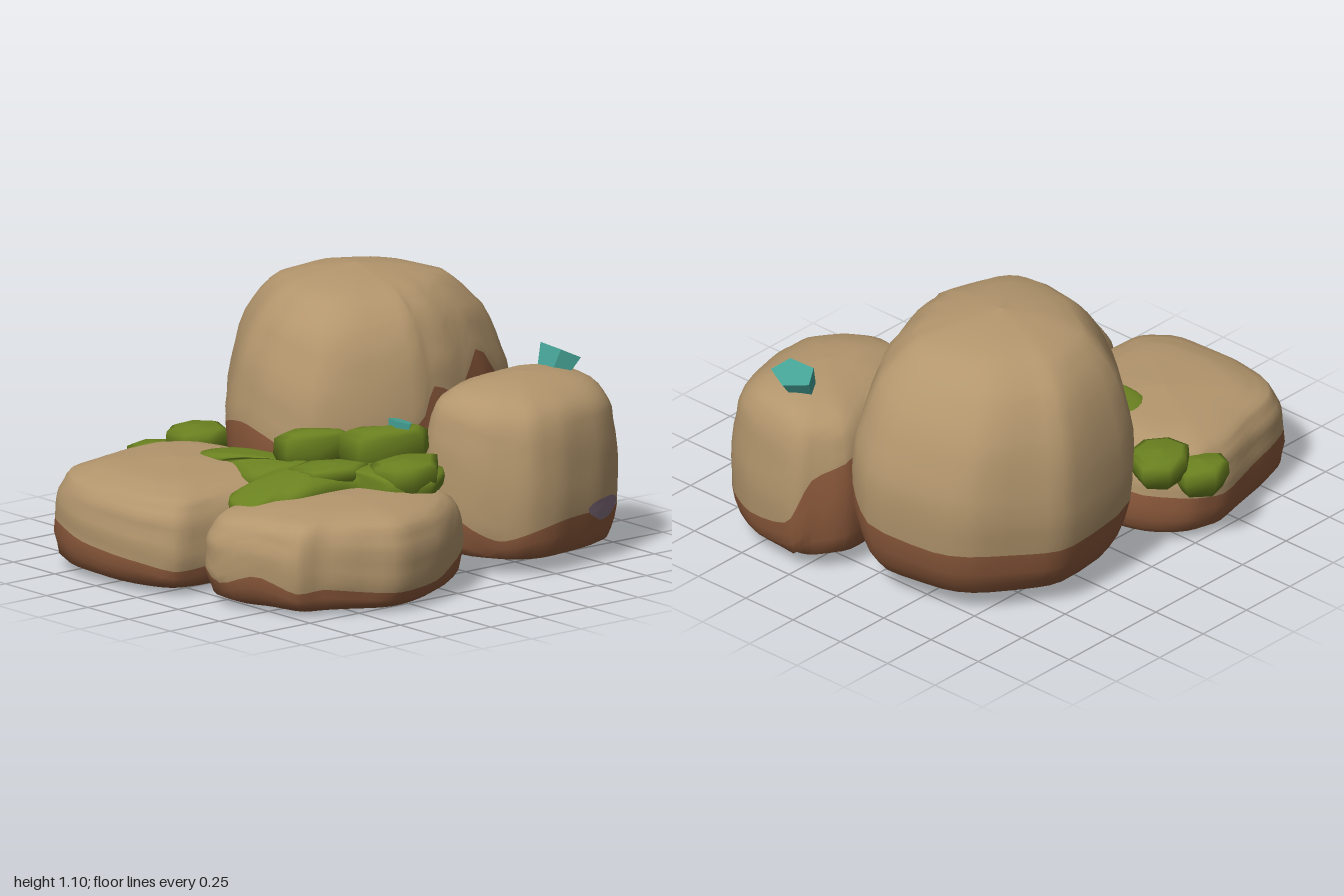
import * as THREE from 'three';

const mat = (name, color, extra = {}) => {
  const m = new THREE.MeshStandardMaterial({ color, ...extra });
  m.name = name;
  return m;
};

// Closed loft. outline: [x, z, dirtHeight] counterclockwise from above,
// profile: [scale, y, depthScale = scale] from the underside to the crown.
function makeLoft(outline, profile, centre, columns, rough, lean = [0, 0]) {
  const curve = new THREE.CatmullRomCurve3(
    outline.map(([x, z, b = 0]) => new THREE.Vector3(x, b, z)), true, 'catmullrom', 0.4);
  const last = profile.length - 1;
  const top = profile[last][1];
  const heightToU = (y) => {
    for (let i = 0; i < last; i++) {
      const a = profile[i][1], b = profile[i + 1][1];
      if (y >= a && y < b) return (i + (y - a) / (b - a)) / last;
    }
    return 0.02;
  };
  const point = (t, u, grow = 0) => {
    const p = curve.getPoint(((t % 1) + 1) % 1);
    const f = Math.min(u * last, last - 1e-6), i = Math.floor(f);
    const [s0, y0, d0 = s0] = profile[i], [s1, y1, d1 = s1] = profile[i + 1];
    const mix = (a, b) => a + (b - a) * (f - i);
    const y = mix(y0, y1);
    const lump = 1 + rough * Math.sin(t * Math.PI * 14 + u * 17) * Math.cos(t * Math.PI * 8 - u * 23);
    const k = Math.pow(Math.max(0, y / top), 4);
    return new THREE.Vector3(
      centre[0] + (p.x - centre[0]) * (mix(s0, s1) * lump + grow) + lean[0] * k, y,
      centre[1] + (p.z - centre[1]) * (mix(d0, d1) * lump + grow) + lean[1] * k);
  };
  const build = (low, high, split) => {
    const pos = [], idx = [], rows = low + high;
    for (let r = 0; r <= rows; r++) {
      for (let j = 0; j < columns; j++) {
        const t = j / columns;
        const ub = split ? heightToU(curve.getPoint(t).y) : low / rows;
        const u = r <= low ? ub * r / low : ub + (1 - ub) * (r - low) / high;
        pos.push(...point(t, u).toArray());
      }
    }
    for (let r = 0; r < rows; r++) {
      for (let j = 0; j < columns; j++) {
        const k = (j + 1) % columns;
        const a = r * columns + j, b = r * columns + k;
        idx.push(a, b, b + columns, a, b + columns, a + columns);
      }
    }
    const g = new THREE.BufferGeometry();
    g.setAttribute('position', new THREE.Float32BufferAttribute(pos, 3));
    g.setIndex(idx);
    g.addGroup(0, low * columns * 6, 0);
    g.addGroup(low * columns * 6, high * columns * 6, 1);
    g.computeVertexNormals();
    return g;
  };
  return { point, build };
}

export function createModel() {
  const model = new THREE.Group();
  const stone = mat('sandstone', 0xb3966d);
  const dirt = mat('brown earth', 0x8d5a3c);
  const moss = mat('moss green', 0x6b8220);
  const teal = mat('teal crystal', 0x46a396);
  const mauve = mat('mauve stain', 0x857080, { side: THREE.DoubleSide });

  const add = (name, geometry, material) => {
    const m = new THREE.Mesh(geometry, material);
    m.name = name;
    model.add(m);
    return m;
  };
  const rock = (name, outline, profile, centre, lean) => {
    const loft = makeLoft(outline, profile, centre, 48, 0.012, lean);
    add(name, loft.build(7, 15, true), [dirt, stone]);
    return loft;
  };

  // Boulders, each with a brown foot that climbs where they touch
  rock('largeBoulder', [
    [-.77, -.45, .28], [-.73, -.1, .31], [-.6, .05, .42], [-.4, .2, .51], [-.25, .24, .53],
    [-.1, .25, .5], [.08, .2, .42], [.2, .05, .45], [.28, -.2, .55], [.275, -.3, .69],
    [.25, -.45, .64], [.18, -.64, .78], [.1, -.79, .57], [.01, -.9, .42], [-.13, -.95, .34],
    [-.4, -.9, .3], [-.57, -.8, .3], [-.7, -.6, .28],
  ], [
    [0, .045], [.55, .05], [.8, .08], [.92, .18], [.98, .35], [1, .5], [.975, .65, .96],
    [.93, .78, .89], [.84, .9, .79], [.73, .98, .67], [.57, 1.04, .56], [.3, 1.075], [0, 1.095],
  ], [-.25, -.35], [.015, .04]);

  const backRock = rock('backBoulder', [
    [.18, -.95, .42], [.08, -.82, .5], [.1, -.6, .6], [.15, -.4, .65], [.3, -.2, .35],
    [.5, -.2, .22], [.65, -.28, .14], [.75, -.4, .18], [.76, -.55, .21], [.72, -.75, .21],
    [.65, -.9, .2], [.5, -.98, .18], [.27, -1, .22],
  ], [
    [0, .045], [.75, .05], [.9, .07], [.97, .17], [1, .32], [.97, .48], [.91, .59, .93],
    [.8, .65, .86], [.58, .695, .74], [.3, .725, .45], [0, .735],
  ], [.42, -.6]);

  rock('frontRightSlab', [
    [-.3, .99, .15], [-.05, .97, .13], [.1, .88, .1], [.13, .7, .12], [.12, .3, .2],
    [0, .1, .25], [-.3, .05, .25], [-.6, .1, .22], [-.75, .25, .2], [-.77, .4, .17],
    [-.72, .65, .2], [-.65, .87, .2], [-.5, .96, .18],
  ], [
    [0, .005], [.8, .01], [.95, .04], [1, .12], [1, .22], [.97, .31], [.88, .375],
    [.6, .415], [0, .43],
  ], [-.33, .53]);

  rock('frontLeftSlab', [
    [.33, .87, .1], [.5, .82, .15], [.67, .76, .1], [.72, .65, .11], [.8, .5, .09], [.86, .35, .08],
    [.8, .12, .09], [.66, -.1, .15], [.5, -.19, .3], [.3, -.19, .33], [.2, 0, .28],
    [.13, .3, .2], [.13, .6, .17], [.2, .82, .18],
  ], [
    [0, 0], [.8, .01], [.94, .04], [1, .13], [1, .25], [.93, .33], [.82, .365],
    [.5, .39], [0, .4],
  ], [.47, .35]);

  // Stain on the outer side of the back boulder
  {
    const n = 18, pos = [], idx = [], c = [9.2 / 13, 0.33];
    for (let ring = 0; ring <= 2; ring++) {
      for (let i = 0; i < n; i++) {
        const a = i / n * Math.PI * 2, w = ring / 2 * (1 + 0.1 * Math.sin(3 * a));
        pos.push(...backRock.point(c[0] + Math.cos(a) * w * .044,
          c[1] + Math.sin(a) * w * .03, .016).toArray());
      }
    }
    for (let ring = 0; ring < 2; ring++) {
      for (let i = 0; i < n; i++) {
        const a = ring * n + i, b = ring * n + (i + 1) % n;
        idx.push(a, a + n, b + n, a, b + n, b);
      }
    }
    const g = new THREE.BufferGeometry();
    g.setAttribute('position', new THREE.Float32BufferAttribute(pos, 3));
    g.setIndex(idx);
    g.computeVertexNormals();
    add('stain', g, mauve);
  }

  // Moss sheet draped over the gap between the rocks, its tongue sinking forward
  const sheet = makeLoft([
    [.2, .69], [.33, .7], [.36, .6], [.4, .5], [.4, .3], [.42, .22], [.55, .15], [.6, 0],
    [.55, -.08], [.45, -.19], [.28, -.19], [.28, -.05], [.2, .05], [.08, .14], [.02, .25],
    [-.15, .24], [-.36, .27], [-.36, .42], [-.23, .43], [-.15, .4], [0, .47], [.1, .48], [.13, .64],
  ], [[0, .3], [.9, .31], [1, .38], [.98, .42], [.8, .445], [.4, .465], [0, .47]],
  [.25, .3], 69, 0).build(4, 6, false);
  const sp = sheet.attributes.position;
  for (let i = 0; i < sp.count; i++) {
    sp.setY(i, sp.getY(i) - 0.16 * Math.max(0, sp.getZ(i) - 0.4));
  }
  sheet.computeVertexNormals();
  add('mossSheet', sheet, moss);

  // Chunky moss clumps: outline, bottom and top
  const clumps = [
    [[[.06, .36], [.13, .35], [.19, .25], [.22, .1], [.16, .06], [.07, .14], [.02, .24]], .4, .575],
    [[[.2, .15], [.33, .15], [.38, .05], [.4, -.12], [.35, -.19], [.28, -.18], [.26, -.03], [.19, .06]], .38, .585],
    [[[.46, .18], [.55, .15], [.6, .1], [.59, -.03], [.52, -.09], [.43, -.17], [.34, -.05], [.38, .14]], .34, .495],
    [[[.22, .42], [.35, .4], [.41, .24], [.36, .12], [.24, .16], [.18, .28]], .38, .485],
    [[[-.7, .27], [-.6, .26], [-.54, .18], [-.56, .06], [-.7, 0], [-.78, .07], [-.77, .18]], .3, .435],
    [[[-.76, .39], [-.65, .29], [-.66, .2], [-.78, .16], [-.86, .25], [-.83, .36]], .23, .37],
  ];
  for (const [outline, y0, y1] of clumps) {
    const n = outline.length, h = y1 - y0;
    const c = [0, 1].map((k) => outline.reduce((s, p) => s + p[k], 0) / n);
    const loft = makeLoft(outline,
      [[0, y0], [.75, y0 + .01], [1, y0 + h * .5], [.97, y0 + h * .85], [.75, y1 - .01], [0, y1]],
      c, n, 0);
    add('mossClump', loft.build(2, 3, false), moss);
  }

  // Teal crystals, wider at the top than at the root
  const crystal = (name, r, h, x, y, z, tilt, depth, turn) => {
    const g = new THREE.CylinderGeometry(r, r * .7, h, 5).toNonIndexed();
    g.computeVertexNormals();
    g.rotateY(turn).scale(1, 1, depth);
    const m = add(name, g, teal);
    m.position.set(x, y, z);
    m.rotation.set(tilt, 0, -.05);
  };
  crystal('largeCrystal', .108, .1, .385, .733, -.805, -.45, .64, Math.PI);
  crystal('smallCrystal', .06, .07, .32, .565, -.065, -.2, .7, .3);

  return model;
}
